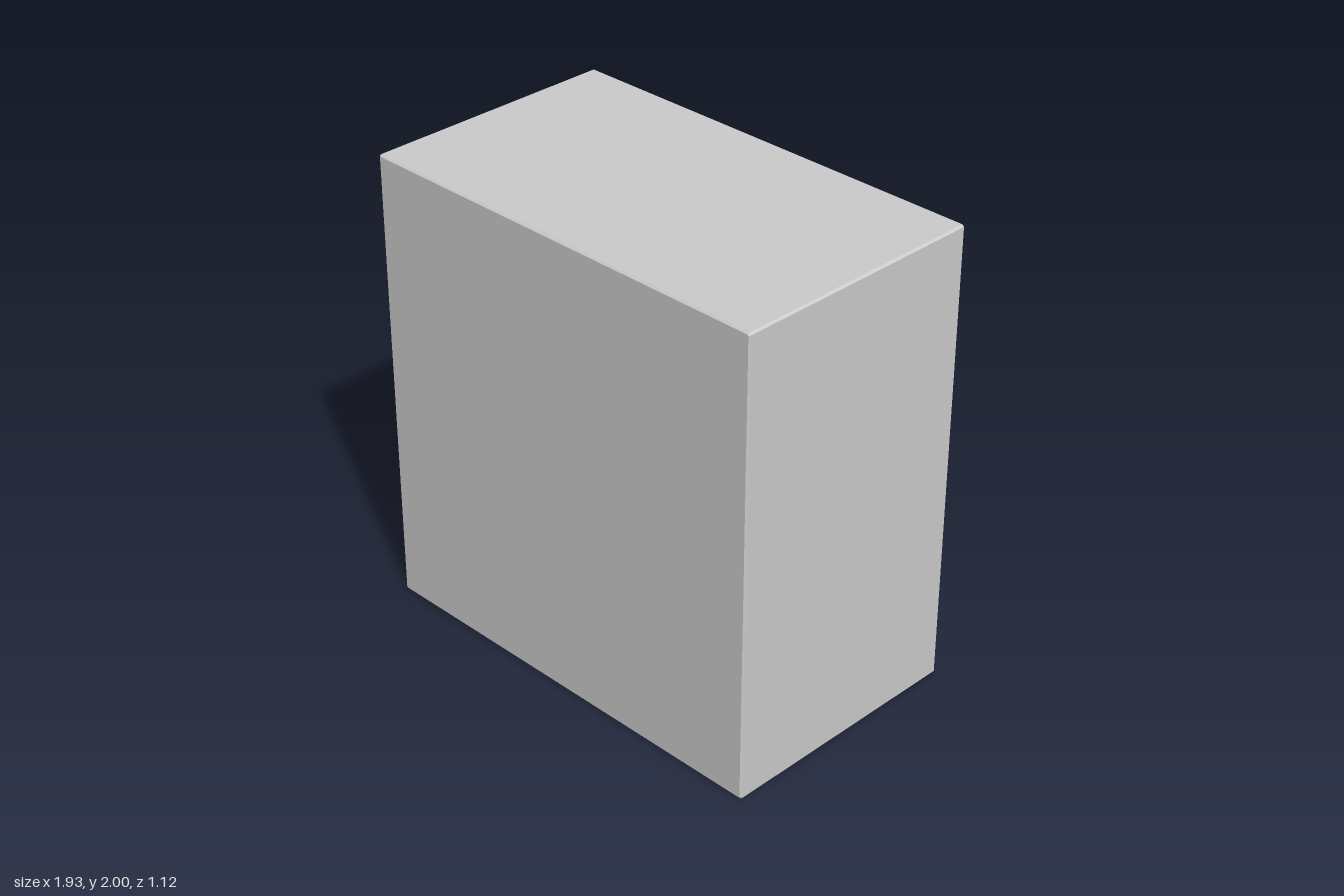
import * as THREE from 'three';

const W = 0.965, H = 1, D = 0.56;      // half sizes of the cabinet
const IN_W = 0.825, IN_H = 0.87;       // half sizes of the opening
const FRONT_IN = D - 0.13;             // inner face of the closed front
const BEVEL = 0.008;
const BOARD = 0.095;                   // thickness of divider and shelves

// Rectangle with cut corners, counter-clockwise seen from +z
function ring(w, h, z, c) {
  return [
    [w, -h + c], [w, h - c], [w - c, h], [-w + c, h],
    [-w, h - c], [-w, -h + c], [-w + c, -h], [w - c, -h],
  ].map(([x, y]) => [x, y + H, z]);
}

// Closed skin through a list of rings, capped at both ends
function skin(rings) {
  const pos = [];
  const tri = (a, b, c) => pos.push(...a, ...b, ...c);
  const n = rings[0].length;
  for (let i = 0; i < rings.length - 1; i++) {
    for (let j = 0; j < n; j++) {
      const k = (j + 1) % n;
      tri(rings[i][j], rings[i + 1][j], rings[i + 1][k]);
      tri(rings[i][j], rings[i + 1][k], rings[i][k]);
    }
  }
  const last = rings[rings.length - 1];
  for (let j = 1; j < n - 1; j++) {
    tri(rings[0][0], rings[0][j], rings[0][j + 1]);
    tri(last[0], last[j + 1], last[j]);
  }
  const geo = new THREE.BufferGeometry();
  geo.setAttribute('position', new THREE.Float32BufferAttribute(pos, 3));
  geo.computeVertexNormals();
  return geo;
}

export function createModel() {
  const group = new THREE.Group();
  const material = new THREE.MeshStandardMaterial({ color: 0xcccccc, flatShading: true });
  const add = (name, geometry, x = 0, y = 0, z = 0) => {
    const mesh = new THREE.Mesh(geometry, material);
    mesh.name = name;
    mesh.position.set(x, y, z);
    group.add(mesh);
  };

  // Bevelled carcass, closed at the front and hollowed from the back
  add('carcass', skin([
    ring(W - BEVEL, H - BEVEL, D, BEVEL / 2),
    ring(W, H, D - BEVEL, BEVEL),
    ring(W, H, -D + BEVEL, BEVEL),
    ring(W - BEVEL, H - BEVEL, -D, BEVEL / 2),
    ring(IN_W, IN_H, -D, 0.001),
    ring(IN_W, IN_H, FRONT_IN, 0.001),
  ]));

  // Upright divider, set back slightly from the opening
  const dividerBack = -D + 0.04;
  add('divider', new THREE.BoxGeometry(BOARD, IN_H * 2, FRONT_IN - dividerBack),
    0, H, (FRONT_IN + dividerBack) / 2);

  // Three shelves in each bay, set back a little further
  const shelfBack = -D + 0.065;
  const bay = IN_W - BOARD / 2;
  const shelf = new THREE.BoxGeometry(bay, BOARD, FRONT_IN - shelfBack);
  for (const side of [-1, 1]) {
    for (let i = -1; i <= 1; i++) {
      add(side > 0 ? 'leftShelf' : 'rightShelf', shelf,
        side * (BOARD + bay) / 2, H + i * 0.495, (FRONT_IN + shelfBack) / 2);
    }
  }
  return group;
}
